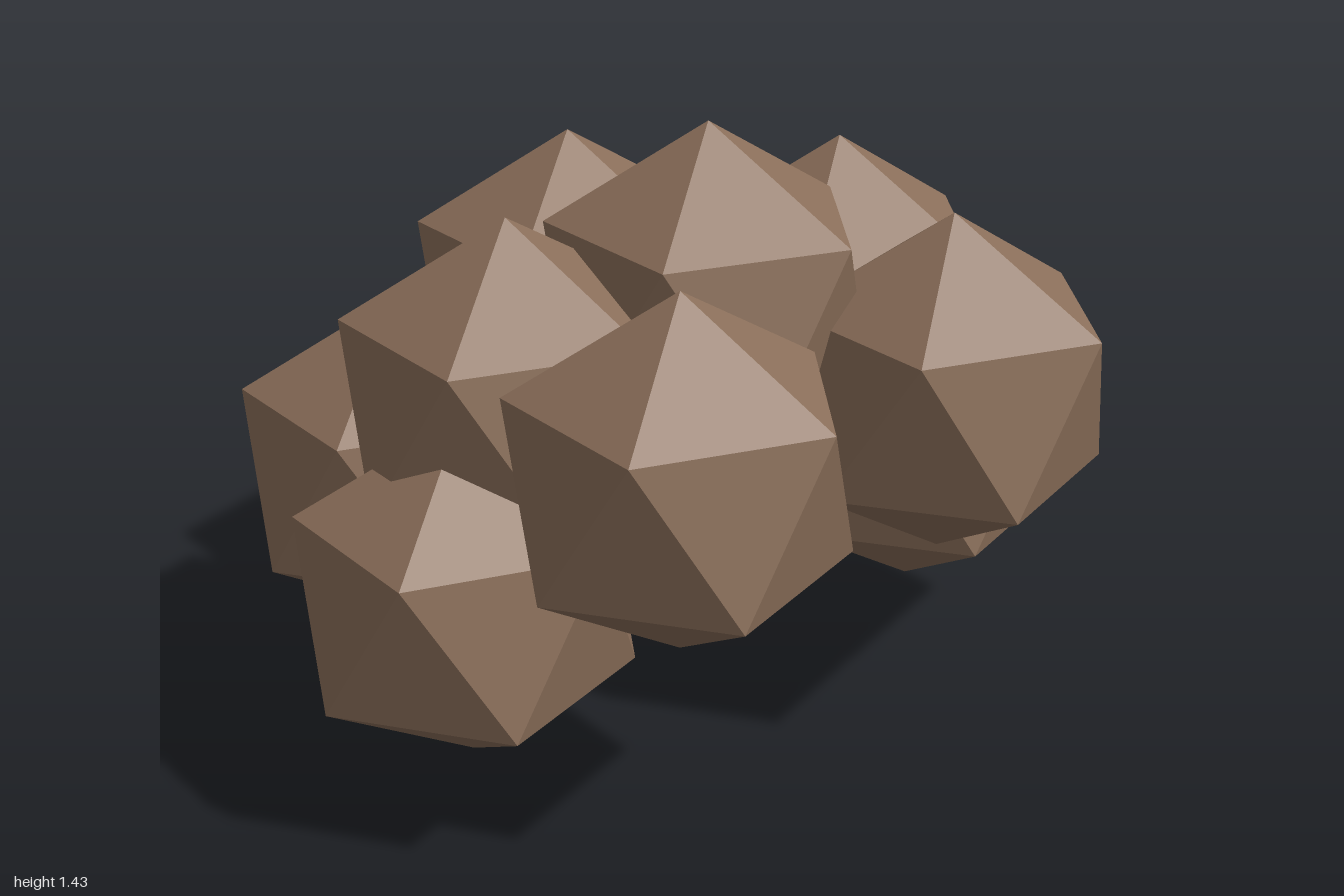
import * as THREE from 'three';

export function createModel() {
  const group = new THREE.Group();
  const material = new THREE.MeshStandardMaterial({ color: 0x8b6f5a, flatShading: true });

  // One faceted lump, turned so that a corner points straight up
  const lump = new THREE.IcosahedronGeometry(0.394, 0);
  lump.rotateZ(-Math.atan(2 / (1 + Math.sqrt(5))));

  function addLump(name, x, y, z) {
    const mesh = new THREE.Mesh(lump, material);
    mesh.name = name;
    mesh.position.set(x, y, z);
    group.add(mesh);
  }

  // Lumps on the centre line
  addLump('topLump', 0, 1.04, 0.115);
  addLump('upperBackLump', 0, 0.9, -0.395);
  addLump('bottomLump', 0, 0.394, -0.485);

  // Lumps in left and right pairs (same orientation on both sides)
  const pairs = [
    ['FrontLump', 0.37, 0.857, 0.485],
    ['UpperSideLump', 0.46, 0.9, 0.025],
    ['LowerSideLump', 0.647, 0.537, 0.115],
    ['BackLump', 0.508, 0.629, -0.345],
  ];
  for (const [name, x, y, z] of pairs) {
    addLump('left' + name, x, y, z);
    addLump('right' + name, -x, y, z);
  }
  return group;
}
